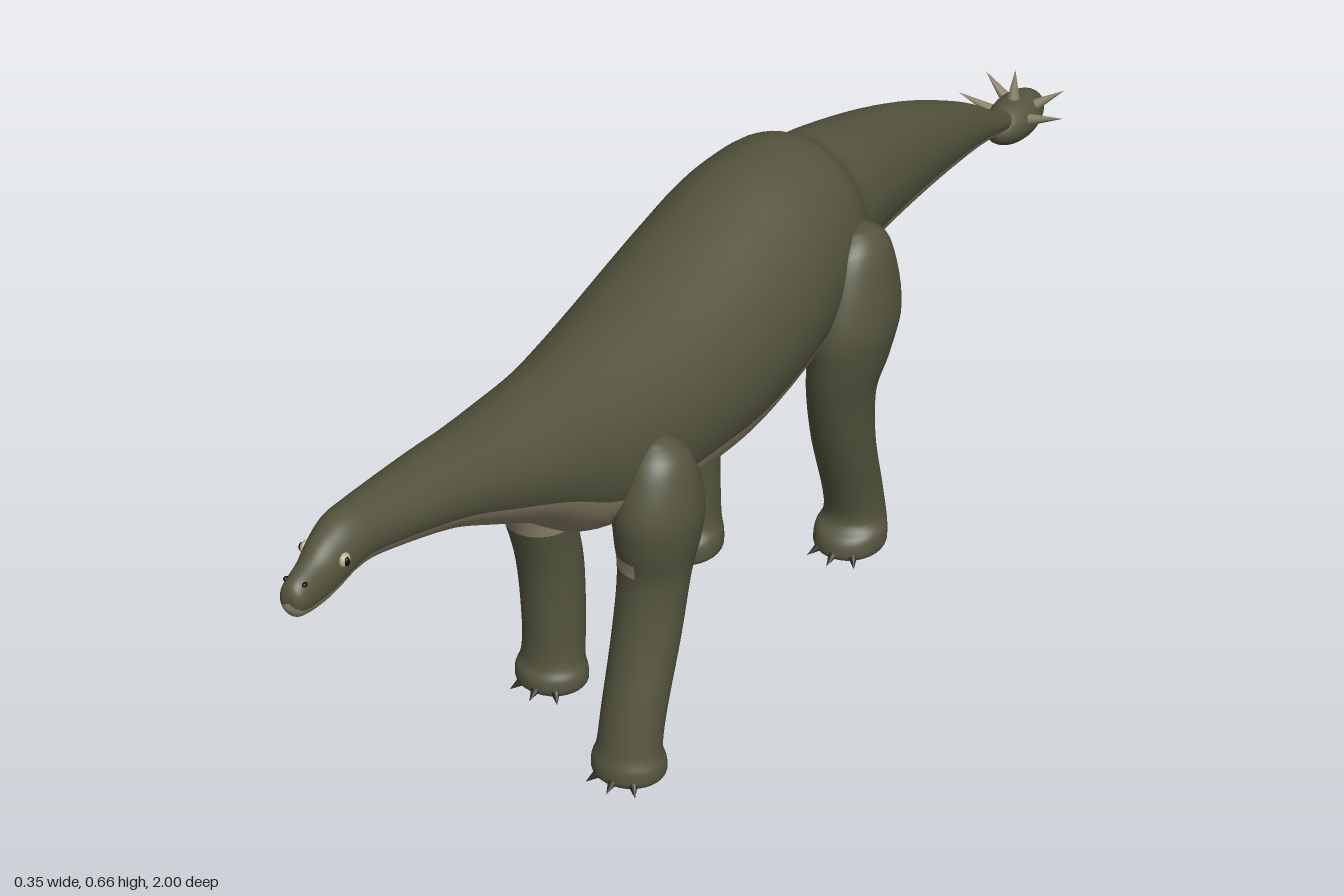
import * as THREE from 'three';

const mat = (name, color) => Object.assign(new THREE.MeshStandardMaterial({ color }), { name });
const hide = mat('olive hide', 0x55553f);
const belly = mat('pale belly', 0x958a70);
const horn = mat('horn', 0x8c866a);
const claw = mat('dark claw', 0x2c2a22);
const eyeWhite = mat('eye', 0xb8b28c);
const pupilMat = mat('pupil', 0x0c0c0a);

// Catmull-Rom resampling of table rows
function smoothRows(rows, steps) {
  const out = [];
  for (let i = 0; i < rows.length - 1; i++) {
    const a = rows[Math.max(i - 1, 0)], b = rows[i], c = rows[i + 1], d = rows[Math.min(i + 2, rows.length - 1)];
    for (let s = 0; s < steps; s++) {
      const t = s / steps;
      out.push(b.map((v, k) => v + 0.5 * t * (c[k] - a[k] + t * (2 * a[k] - 5 * v + 4 * c[k] - d[k] + t * (3 * (v - c[k]) + d[k] - a[k])))));
    }
  }
  out.push(rows[rows.length - 1]);
  return out;
}

// Closed skin over rings of points; isPale(i, j) picks the second material
function loft(name, rings, isPale) {
  const n = rings[0].length, groups = [[], []], pos = [];
  const middle = ring => ring.reduce((s, p) => s.add(p), new THREE.Vector3()).divideScalar(n);
  rings.forEach(r => r.forEach(p => pos.push(p.x, p.y, p.z)));
  const first = pos.length / 3, last = rings.length - 1;
  [rings[0], rings[last]].forEach(r => pos.push(...middle(r).toArray()));
  for (let j = 0; j < n; j++) {
    const k = (j + 1) % n;
    for (let i = 0; i < last; i++) {
      const a = i * n + j, b = i * n + k;
      groups[isPale(i, j) ? 1 : 0].push(a, a + n, b, b, a + n, b + n);
    }
    groups[isPale(0, j) ? 1 : 0].push(first, j, k);
    groups[isPale(last, j) ? 1 : 0].push(first + 1, last * n + k, last * n + j);
  }
  const geo = new THREE.BufferGeometry();
  geo.setAttribute('position', new THREE.Float32BufferAttribute(pos, 3));
  geo.setIndex([...groups[0], ...groups[1]]);
  geo.addGroup(0, groups[0].length, 0);
  geo.addGroup(groups[0].length, groups[1].length, 1);
  geo.computeVertexNormals();
  const mesh = new THREE.Mesh(geo, [hide, belly]);
  mesh.name = name;
  return mesh;
}

// Cone with its base at one point and its tip at another
function spike(name, from, to, radius, material) {
  const a = new THREE.Vector3(...from), dir = new THREE.Vector3(...to).sub(a);
  const geo = new THREE.ConeGeometry(radius, dir.length(), 10).translate(0, dir.length() / 2, 0);
  const mesh = new THREE.Mesh(geo, material);
  mesh.name = name;
  mesh.position.copy(a);
  mesh.quaternion.setFromUnitVectors(new THREE.Vector3(0, 1, 0), dir.normalize());
  return mesh;
}

function ball(name, radii, at, material) {
  const mesh = new THREE.Mesh(new THREE.SphereGeometry(1, 28, 18), material);
  mesh.name = name;
  mesh.scale.set(...radii);
  mesh.position.set(...at);
  return mesh;
}

// Head, neck, trunk and tail: z, top, bottom, half width
const bodyRows = [
  [1.0, 0.607, 0.588, 0.009], [0.99, 0.622, 0.574, 0.018], [0.955, 0.635, 0.568, 0.023],
  [0.925, 0.65, 0.572, 0.029], [0.89, 0.66, 0.58, 0.034], [0.84, 0.655, 0.575, 0.04],
  [0.7, 0.636, 0.53, 0.056], [0.6, 0.62, 0.48, 0.07], [0.5, 0.608, 0.425, 0.086],
  [0.4, 0.602, 0.355, 0.101], [0.3, 0.602, 0.325, 0.117], [0.2, 0.607, 0.317, 0.13],
  [0.1, 0.62, 0.31, 0.139], [0, 0.638, 0.315, 0.141], [-0.1, 0.654, 0.333, 0.137],
  [-0.2, 0.648, 0.365, 0.122], [-0.255, 0.618, 0.393, 0.1], [-0.32, 0.604, 0.4, 0.091],
  [-0.45, 0.568, 0.392, 0.074], [-0.6, 0.513, 0.38, 0.056], [-0.75, 0.442, 0.362, 0.036],
  [-0.85, 0.383, 0.342, 0.022], [-0.9, 0.36, 0.328, 0.017],
];

function makeBody() {
  const back = 32, under = 16, split = -0.43;
  const rings = smoothRows(bodyRows, 5).map(([z, top, bottom, w]) => {
    const ring = [];
    for (let j = 0; j < back + under; j++) {
      const t = j < back ? split + (Math.PI - 2 * split) * j / back
        : Math.PI - split + (Math.PI + 2 * split) * (j - back) / under;
      ring.push(new THREE.Vector3(w * Math.cos(t), (top + bottom) / 2 + (top - bottom) / 2 * Math.sin(t), z));
    }
    return ring;
  });
  return loft('body', rings, (i, j) => j >= back);
}

// Leg profiles: height, distance from the middle, half width, half depth
const frontRows = [
  [0.49, 0.105, 0.012, 0.014], [0.465, 0.108, 0.04, 0.045], [0.4, 0.108, 0.056, 0.069],
  [0.35, 0.107, 0.055, 0.066], [0.29, 0.103, 0.048, 0.051], [0.2, 0.1, 0.046, 0.045],
  [0.1, 0.098, 0.044, 0.042], [0.05, 0.098, 0.045, 0.04], [0.03, 0.098, 0.051, 0.045],
  [0.012, 0.098, 0.051, 0.046], [0.002, 0.098, 0.04, 0.036],
];
const hindRows = [
  [0.545, 0.12, 0.015, 0.02], [0.515, 0.122, 0.039, 0.056], [0.42, 0.122, 0.055, 0.085],
  [0.35, 0.115, 0.052, 0.075], [0.29, 0.106, 0.046, 0.058], [0.2, 0.1, 0.044, 0.048],
  [0.1, 0.098, 0.043, 0.043], [0.055, 0.098, 0.045, 0.043], [0.035, 0.098, 0.051, 0.053],
  [0.012, 0.098, 0.051, 0.055], [0.002, 0.098, 0.04, 0.044],
];

// side: +1 left, -1 right; path: z of each row; patch: low, high, facing x and z
function makeLeg(name, side, rows, path, [low, high, fx, fz]) {
  const leg = new THREE.Group(), n = 32;
  leg.name = name;
  const full = smoothRows(rows.map((r, i) => [...r, path[i]]), 5);
  const angle = j => 2 * Math.PI * j / n;
  const rings = full.map(([y, x, rx, rz, z]) => Array.from({ length: n }, (_, j) =>
    new THREE.Vector3(side * x + rx * Math.cos(angle(j)), y, z - rz * Math.sin(angle(j)))));
  leg.add(loft(name + 'Skin', rings, (i, j) => {
    const y = full[i][0], facing = fx * Math.cos(angle(j)) - fz * Math.sin(angle(j));
    return y < 0.011 || (y > low && y < high && facing > 0.1);
  }));
  // Toe claws
  const [, x, rx, rz] = rows[9], z = path[9];
  for (const a of [-0.6, 0, 0.6]) {
    const at = (r, y) => [side * x + rx * r * Math.sin(a), y, z + rz * r * Math.cos(a)];
    leg.add(spike('claw', at(0.85, 0.016), at(1.3, 0.005), 0.008, claw));
  }
  return leg;
}

export function createModel() {
  const model = new THREE.Group();
  model.name = 'longNeckedDinosaur';
  model.add(makeBody());

  model.add(
    makeLeg('leftFrontLeg', 1, frontRows,
      [0.335, 0.335, 0.335, 0.335, 0.338, 0.355, 0.385, 0.398, 0.4, 0.4, 0.4], [0.305, 0.335, -1, 0]),
    makeLeg('rightFrontLeg', -1, frontRows,
      [0.31, 0.31, 0.31, 0.305, 0.29, 0.268, 0.264, 0.268, 0.272, 0.272, 0.272], [0.275, 0.335, 0.3, 1]),
    makeLeg('leftHindLeg', 1, hindRows,
      [-0.185, -0.185, -0.18, -0.175, -0.172, -0.192, -0.226, -0.235, -0.225, -0.222, -0.222], [0.3, 0.34, -0.7, -0.7]),
    makeLeg('rightHindLeg', -1, hindRows,
      [-0.165, -0.165, -0.16, -0.15, -0.125, -0.107, -0.108, -0.108, -0.1, -0.098, -0.098], [0.275, 0.345, 0.6, -0.8]),
  );

  // Eyes
  for (const s of [-1, 1]) {
    model.add(ball('eye', [0.006, 0.009, 0.009], [s * 0.027, 0.622, 0.922], eyeWhite));
    model.add(ball('pupil', [0.003, 0.006, 0.004], [s * 0.0318, 0.622, 0.924], pupilMat));
    model.add(ball('nostril', [0.003, 0.003, 0.004], [s * 0.013, 0.619, 0.984], pupilMat));
  }

  // Tail club with spikes
  model.add(ball('tailClub', [0.036, 0.035, 0.072], [0, 0.336, -0.928], hide));
  for (const s of [-1, 1]) {
    model.add(spike('clubSpike', [s * 0.025, 0.343, -0.915], [s * 0.087, 0.362, -0.912], 0.01, horn));
    model.add(spike('clubSpike', [s * 0.02, 0.35, -0.945], [s * 0.066, 0.382, -0.96], 0.01, horn));
  }
  model.add(spike('clubSpike', [0, 0.36, -0.922], [0, 0.417, -0.925], 0.011, horn));
  return model;
}
